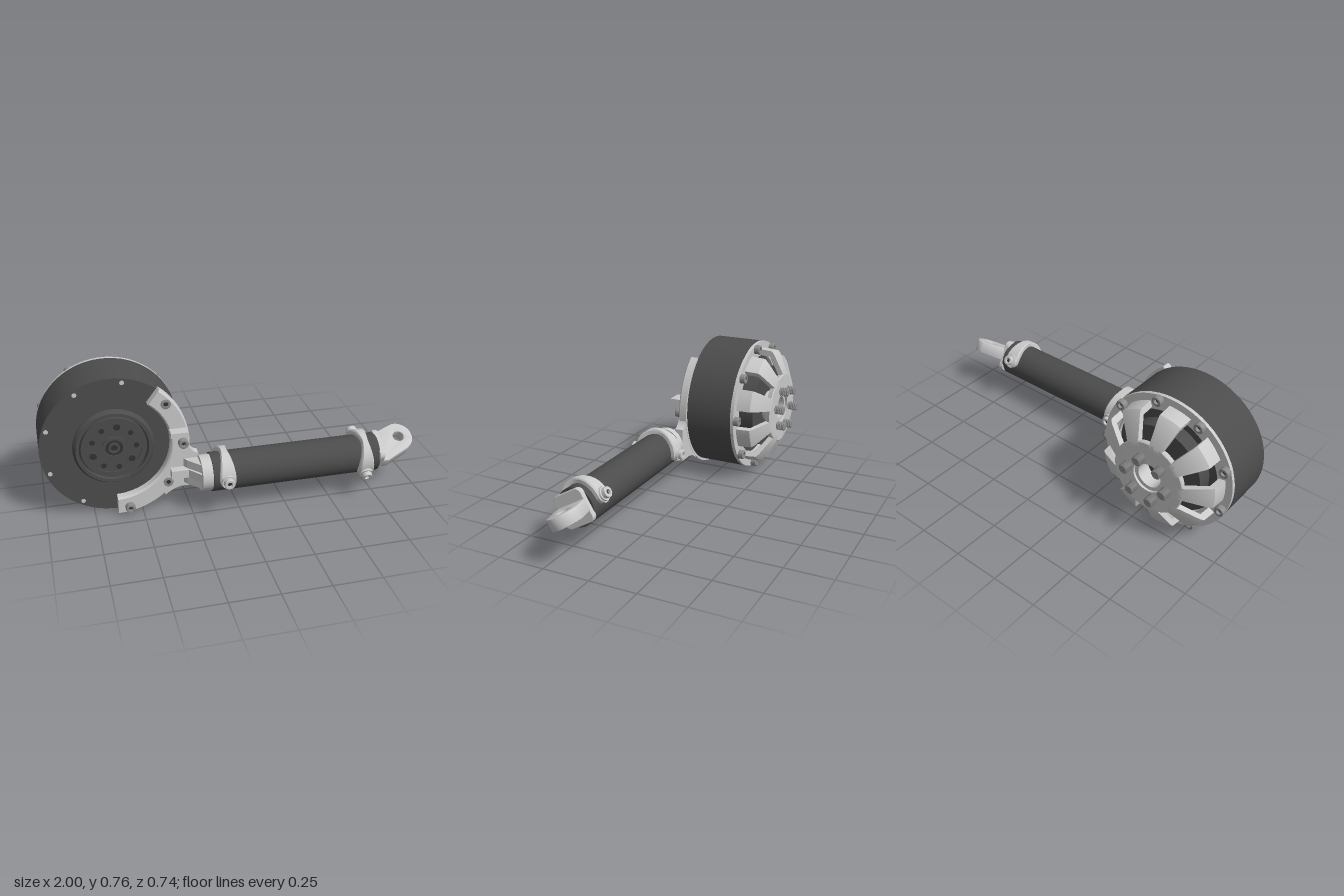
import * as THREE from 'three';
import { toCreasedNormals } from 'three/addons/utils/BufferGeometryUtils.js';

const mat = (name, color) => {
  const m = new THREE.MeshStandardMaterial({ color });
  m.name = name;
  return m;
};
const RAD = Math.PI / 180;

// Sweeps a counter-clockwise [radius, z] profile around the z axis from a0 to a1 degrees
function sweep(profile, a0 = 0, a1 = 360, steps = 72, widen = () => 1) {
  const pos = [];
  const n = profile.length;
  const point = (i, s) => {
    const a = (a0 + (a1 - a0) * s / steps) * RAD, [r, z] = profile[i % n];
    return [r * Math.cos(a), r * Math.sin(a), z * widen(a)];
  };
  for (let s = 0; s < steps; s++) for (let i = 0; i < n; i++) {
    const a = point(i, s), b = point(i, s + 1), c = point(i + 1, s + 1), d = point(i + 1, s);
    pos.push(...a, ...b, ...d, ...b, ...c, ...d);
  }
  if (a1 - a0 < 360) {
    const tris = THREE.ShapeUtils.triangulateShape(profile.map(p => new THREE.Vector2(...p)), []);
    for (const [a, b, c] of tris) {
      pos.push(...point(a, 0), ...point(b, 0), ...point(c, 0));
      pos.push(...point(a, steps), ...point(c, steps), ...point(b, steps));
    }
  }
  const g = new THREE.BufferGeometry();
  g.setAttribute('position', new THREE.Float32BufferAttribute(pos, 3));
  return toCreasedNormals(g, 0.5);
}

// Cylinder along z between two depths
function disc(r, z0, z1, seg = 32, rFront = r) {
  return new THREE.CylinderGeometry(rFront, r, z1 - z0, seg).rotateX(Math.PI / 2).translate(0, 0, (z0 + z1) / 2);
}

const extrude = (shape, depth, bevel = 0) => new THREE.ExtrudeGeometry(shape, {
  depth: depth - 2 * bevel, bevelEnabled: bevel > 0, bevelSize: bevel, bevelThickness: bevel,
  bevelOffset: -bevel, bevelSegments: 2, curveSegments: 20,
}).translate(0, 0, bevel);

export function createModel() {
  const dark = mat('dark casing', 0x4c4c4c);
  const black = mat('recess black', 0x333333);
  const light = mat('light metal', 0xcacaca);
  const steel = mat('bolt steel', 0x8c8c8c);

  const model = new THREE.Group();
  model.name = 'motorArm';
  const add = (parent, name, geo, m, x = 0, y = 0, z = 0) => {
    const mesh = new THREE.Mesh(geo, m);
    mesh.name = name;
    mesh.position.set(x, y, z);
    parent.add(mesh);
    return mesh;
  };
  const polar = (r, deg) => [r * Math.cos(deg * RAD), r * Math.sin(deg * RAD)];

  // Socket-head bolt along +z
  const bolt = (parent, name, r, h, m, x, y, z) => {
    const g = new THREE.Group();
    g.name = name;
    g.position.set(x, y, z);
    add(g, 'boltHead', sweep([[r * 0.5, 0], [r, 0], [r, h * 0.88], [r * 0.9, h], [r * 0.5, h]], 0, 360, 20), m);
    add(g, 'boltSocket', disc(r * 0.5, 0, h * 0.5, 6), black);
    parent.add(g);
    return g;
  };

  // Motor drum, axis along z
  const motor = new THREE.Group();
  motor.name = 'motor';
  motor.position.set(-0.63, 0.388, 0);
  model.add(motor);
  add(motor, 'casing', disc(0.373, -0.147, 0.12, 96), dark);
  add(motor, 'rearRing', sweep([[0.29, -0.165], [0.373, -0.165], [0.373, -0.146], [0.29, -0.146]], 0, 360, 96), light);
  add(motor, 'stator', disc(0.235, -0.225, -0.14, 48), dark);

  // Front hub with grooves and holes
  const hub = [[0.178, 0.11], [0.208, 0.11], [0.208, 0.13], [0.195, 0.15], [0.178, 0.15]];
  add(motor, 'hubOuterRing', sweep(hub), dark);
  add(motor, 'hubGroove', disc(0.18, 0.11, 0.124, 64), black);
  add(motor, 'hubMiddleRing', sweep([[0.14, 0.11], [0.168, 0.11], [0.168, 0.145], [0.14, 0.145]]), dark);
  add(motor, 'hubPlate', disc(0.142, 0.11, 0.138, 64), dark);
  add(motor, 'hubCentreRing', sweep([[0.045, 0.13], [0.062, 0.13], [0.062, 0.148], [0.045, 0.148]], 0, 360, 40), dark);
  add(motor, 'hubBore', disc(0.045, 0.13, 0.14, 32), black);
  add(motor, 'hubPin', sweep([[0.018, 0.13], [0.03, 0.13], [0.03, 0.148], [0.018, 0.148]], 0, 360, 32), dark);
  for (let i = 0; i < 9; i++) {
    const a = 80 + i * 40, big = i % 3 === 0;
    add(motor, 'hubHole', disc(big ? 0.021 : 0.014, 0.13, 0.14, 20), black, ...polar(0.115, a));
    if (big) add(motor, 'hubHoleRim', sweep([[0.018, 0.13], [0.025, 0.13], [0.025, 0.142], [0.018, 0.142]], 0, 360, 20), dark, ...polar(0.115, a));
  }

  // Nine rim screws in front, nine bolts behind, nine dome spokes between windows
  const spoke = [[0.165, -0.318], [0.195, -0.318], [0.31, -0.258], [0.328, -0.243], [0.335, -0.16],
    [0.3, -0.16], [0.295, -0.235], [0.185, -0.29], [0.165, -0.29]];
  for (let i = 0; i < 9; i++) {
    const a = i * 40, [x, y] = polar(0.35, a);
    if (a >= 80 && a <= 240) add(motor, 'rimScrew', disc(0.012, 0.115, 0.122, 16), light, x, y);
    bolt(motor, 'rearBolt', 0.026, 0.031, steel, x, y, -0.164).rotation.y = Math.PI;
    add(motor, 'domeSpoke', sweep(spoke, a + 9.5, a + 30.5, 8), light);
  }
  add(motor, 'domeCap', sweep([[0.085, -0.318], [0.195, -0.318], [0.2, -0.313], [0.19, -0.285], [0.085, -0.285]]), light);
  add(motor, 'domeCollar', sweep([[0.065, -0.305], [0.086, -0.305], [0.086, -0.2], [0.065, -0.2]], 0, 360, 40), light);

  // Six threaded studs on the dome cap
  const thread = [[0, -0.368], [0.019, -0.368]];
  for (let k = 0; k < 5; k++) thread.push([0.026, -0.363 + k * 0.01], [0.02, -0.358 + k * 0.01]);
  thread.push([0.02, -0.3], [0, -0.3]);
  for (let i = 0; i < 6; i++) add(motor, 'stud', sweep(thread, 0, 360, 18), steel, ...polar(0.115, 10 + i * 60));

  // Curved bracket on the front rim
  const arc = [[0.288, 0.118], [0.387, 0.118], [0.387, 0.158], [0.378, 0.167], [0.297, 0.167], [0.288, 0.158]];
  add(motor, 'bracketArc', sweep(arc, -90, 52, 48), light);
  for (const a of [0, -80]) bolt(motor, 'bracketBolt', 0.026, 0.031, steel, ...polar(0.35, a), 0.166);
  for (const a of [40, -40]) bolt(motor, 'recessedBolt', 0.026, 0.006, steel, ...polar(0.35, a), 0.166);
  add(motor, 'bracketFin', new THREE.BoxGeometry(0.09, 0.026, 0.06), light, 0.325, 0.07, 0.195);

  // Neck plate and gusset joining bracket to tube
  const neck = new THREE.Shape();
  neck.moveTo(-0.26, 0.41);
  neck.quadraticCurveTo(-0.25, 0.325, -0.2, 0.315);
  neck.lineTo(-0.2, 0.128);
  neck.lineTo(-0.29, 0.128);
  neck.quadraticCurveTo(-0.34, 0.12, -0.38, 0.085);
  neck.lineTo(-0.4, 0.16);
  neck.quadraticCurveTo(-0.3, 0.24, -0.28, 0.39);
  add(model, 'neckPlate', extrude(neck, 0.048), light, 0, 0, 0.119);
  const side = (pts, y0, y1, name) => {
    const s = new THREE.Shape(pts.map(([x, z]) => new THREE.Vector2(x, -z)));
    add(model, name, extrude(s, y1 - y0).rotateX(-Math.PI / 2), light, 0, y0, 0);
  };
  side([[-0.35, 0.15], [-0.35, 0.212], [-0.26, 0.212], [-0.195, 0.295], [-0.195, 0.15]], 0.2, 0.245, 'neckGusset');
  side([[-0.29, 0.15], [-0.265, 0.19], [-0.195, 0.27], [-0.195, 0.15]], 0.15, 0.29, 'neckBody');

  // Arm tube, axis along x
  const arm = new THREE.Group();
  arm.name = 'arm';
  arm.position.set(0, 0.22, 0.213);
  model.add(arm);
  const along = (name, r, x0, x1, m) => add(arm, name, disc(r, x0, x1, 64).rotateY(Math.PI / 2), m);
  along('neckCollar', 0.095, -0.205, -0.14, light);
  along('tube', 0.103, -0.15, 0.76, dark);

  // Clamps: saddle narrow on top, flared into a bolt boss on each side
  const clamp = (x, tilt) => {
    const g = new THREE.Group();
    g.name = 'clamp';
    g.position.x = x;
    g.rotation.x = tilt;
    arm.add(g);
    const flare = a => Math.sin(a) > 0 ? 0.018 + 0.024 * Math.abs(Math.cos(a)) ** 1.5
      : 0.042 * Math.sqrt(Math.max(0.1, 1 - (Math.sin(a) / 0.36) ** 2));
    add(g, 'saddle', sweep([[0.1, -1], [0.122, -1], [0.129, -0.8], [0.129, 0.8], [0.122, 1], [0.1, 1]],
      -20, 200, 44, flare).rotateY(Math.PI / 2), light);
    for (const s of [1, -1]) {
      const end = new THREE.Group();
      end.name = 'clampEnd';
      if (s < 0) end.rotation.y = Math.PI;
      add(end, 'boss', disc(0.042, 0.085, 0.135, 28, 0.036), light);
      bolt(end, 'clampBolt', 0.028, 0.025, light, 0, 0, 0.133);
      g.add(end);
    }
  };
  clamp(-0.08, 0);
  clamp(0.68, 30 * RAD);

  // End fitting turned with the outer clamp: rounded square flange and offset eye
  const fitting = new THREE.Group();
  fitting.name = 'endFitting';
  fitting.rotation.x = 30 * RAD;
  arm.add(fitting);
  const h = 0.09, c = 0.03, sq = new THREE.Shape();
  [[1, 1], [-1, 1], [-1, -1], [1, -1]].forEach(([u, v], i) => {
    sq.absarc(u * (h - c), v * (h - c), c, i * Math.PI / 2, (i + 1) * Math.PI / 2, false);
  });
  add(fitting, 'flange', extrude(sq, 0.03, 0.004).rotateY(Math.PI / 2), light, 0.755);
  const eye = new THREE.Shape();
  eye.moveTo(0.775, -0.085);
  eye.lineTo(0.82, -0.085);
  eye.lineTo(0.957, -0.021);
  eye.absarc(0.917, 0.055, 0.083, -62 * RAD, 100 * RAD, false);
  eye.lineTo(0.775, 0.088);
  eye.closePath();
  const hole = new THREE.Path();
  hole.absarc(0.92, 0.055, 0.03, 0, Math.PI * 2, true);
  eye.holes.push(hole);
  add(fitting, 'eyeTongue', toCreasedNormals(extrude(eye, 0.064, 0.005).rotateX(-Math.PI / 2), 0.5), light, 0, -0.034, 0);

  return model;
}
